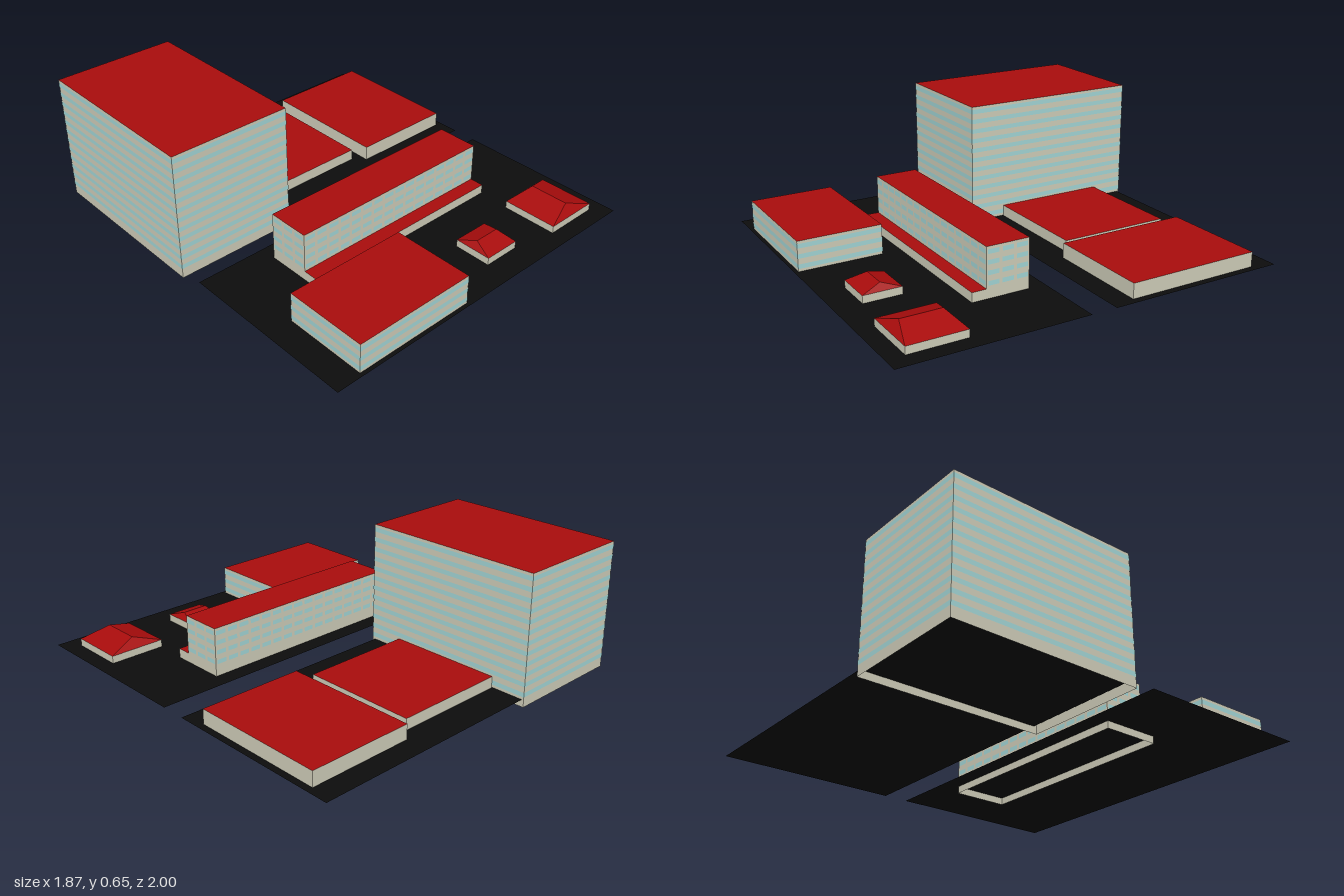
import * as THREE from 'three';

const mat = (color) => new THREE.MeshStandardMaterial({ color, side: THREE.DoubleSide });
const wallMat = mat(0xcfcdb9);
const glassMat = mat(0xa3d6d6);
const roofMat = mat(0xa80c0c);
const groundMat = mat(0x0c0c0c);

const GROUND = 0.037;

function add(parent, name, geometry, material) {
  const mesh = new THREE.Mesh(geometry, material);
  mesh.name = name;
  parent.add(mesh);
  return mesh;
}

// Four upright walls, open at top and bottom
function wallRing([x0, x1, z0, z1], y0, y1) {
  const g = new THREE.BoxGeometry(x1 - x0, y1 - y0, z1 - z0);
  const idx = Array.from(g.index.array);
  g.setIndex([...idx.slice(0, 12), ...idx.slice(24)]);
  g.clearGroups();
  return g.translate((x0 + x1) / 2, (y0 + y1) / 2, (z0 + z1) / 2);
}

// Horizontal rectangle facing up
function flat([x0, x1, z0, z1], y) {
  return new THREE.PlaneGeometry(x1 - x0, z1 - z0)
    .rotateX(-Math.PI / 2)
    .translate((x0 + x1) / 2, y, (z0 + z1) / 2);
}

// Flat-roofed block
function block(parent, name, rect, y0, y1) {
  const b = new THREE.Group();
  b.name = name;
  add(b, 'walls', wallRing(rect, y0, y1), wallMat);
  add(b, 'flatRoof', flat(rect, y1), roofMat);
  parent.add(b);
  return b;
}

// Continuous window band round each floor
function windowBands(parent, [x0, x1, z0, z1], y0, y1, floors) {
  const h = (y1 - y0) / floors;
  const o = 0.001;
  for (let i = 0; i < floors; i++) {
    const y = y0 + h * (i + 0.5);
    const ring = wallRing([x0 - o, x1 + o, z0 - o, z1 + o], y - h * 0.22, y + h * 0.22);
    add(parent, 'windowBand', ring, glassMat);
  }
}

// Rows of separate windows on all four walls
function windowRows(parent, [x0, x1, z0, z1], y0, y1, floors, nx, nz) {
  const h = (y1 - y0) / floors;
  const o = 0.001;
  const px = (x1 - x0) / nx, pz = (z1 - z0) / nz;
  for (let f = 0; f < floors; f++) {
    const y = y0 + h * (f + 0.5);
    for (const s of [-1, 1]) {
      const turn = s > 0 ? 0 : Math.PI;
      for (let i = 0; i < nx; i++) {
        const g = new THREE.PlaneGeometry(px * 0.78, h * 0.44).rotateY(turn);
        g.translate(x0 + px * (i + 0.5), y, s > 0 ? z1 + o : z0 - o);
        add(parent, 'window', g, glassMat);
      }
      for (let i = 0; i < nz; i++) {
        const g = new THREE.PlaneGeometry(pz * 0.78, h * 0.44).rotateY(s * Math.PI / 2);
        g.translate(s > 0 ? x1 + o : x0 - o, y, z0 + pz * (i + 0.5));
        add(parent, 'window', g, glassMat);
      }
    }
  }
}

// Hipped roof over a rectangle; the ridge runs between two points
function hipRoof([x0, x1, z0, z1], y, ridgeA, ridgeB, alongX) {
  const a = [x0, y, z1], b = [x1, y, z1], c = [x1, y, z0], d = [x0, y, z0];
  const p = ridgeA, q = ridgeB;
  // corners counter-clockwise from outside; p is the low end of the ridge axis
  const tris = alongX
    ? [a, b, q, a, q, p, b, c, q, c, d, p, c, p, q, d, a, p]
    : [a, b, q, b, c, p, b, p, q, c, d, p, d, a, q, d, q, p];
  const g = new THREE.BufferGeometry();
  g.setAttribute('position', new THREE.Float32BufferAttribute(tris.flat(), 3));
  g.computeVertexNormals();
  return g;
}

function house(parent, name, rect, eaves, p, q, alongX) {
  const h = new THREE.Group();
  h.name = name;
  add(h, 'walls', wallRing(rect, GROUND, eaves), wallMat);
  add(h, 'hippedRoof', hipRoof(rect, eaves, p, q, alongX), roofMat);
  parent.add(h);
}

export function createModel() {
  const model = new THREE.Group();
  model.name = 'cityBlocks';

  // Ground plots
  add(model, 'rearGround', flat([-0.925, 0.93, -0.99, -0.06], GROUND), groundMat);
  add(model, 'frontGround', flat([-0.925, 0.93, 0.07, 1], GROUND), groundMat);

  // Tall tower, its walls reaching below the ground plot
  const towerRect = [-0.935, -0.3, -1, -0.045];
  const tower = block(model, 'tower', towerRect, 0, 0.655);
  windowBands(tower, towerRect, GROUND, 0.655, 12);

  // Low halls beside the tower
  block(model, 'middleHall', [-0.295, 0.295, -0.82, -0.23], GROUND, 0.095);
  block(model, 'sideHall', [0.35, 0.895, -0.875, -0.175], GROUND, 0.113);

  // Long slab building with a low front annex
  block(model, 'slabBase', [-0.56, 0.565, 0.157, 0.452], 0, 0.085);
  const slabRect = [-0.56, 0.565, 0.157, 0.378];
  const slab = block(model, 'slabBuilding', slabRect, 0.085, 0.285);
  windowRows(slab, slabRect, 0.085, 0.285, 4, 16, 3);

  // Three-storey office
  const officeRect = [-0.785, -0.14, 0.55, 0.98];
  const office = block(model, 'office', officeRect, GROUND, 0.19);
  windowBands(office, officeRect, GROUND, 0.19, 3);

  // Small houses with hipped roofs
  house(model, 'smallHouse', [0.135, 0.33, 0.67, 0.865], 0.075,
    [0.165, 0.107, 0.767], [0.302, 0.107, 0.767], true);
  house(model, 'largeHouse', [0.555, 0.845, 0.62, 0.912], 0.075,
    [0.7, 0.122, 0.663], [0.7, 0.122, 0.868], false);

  return model;
}
